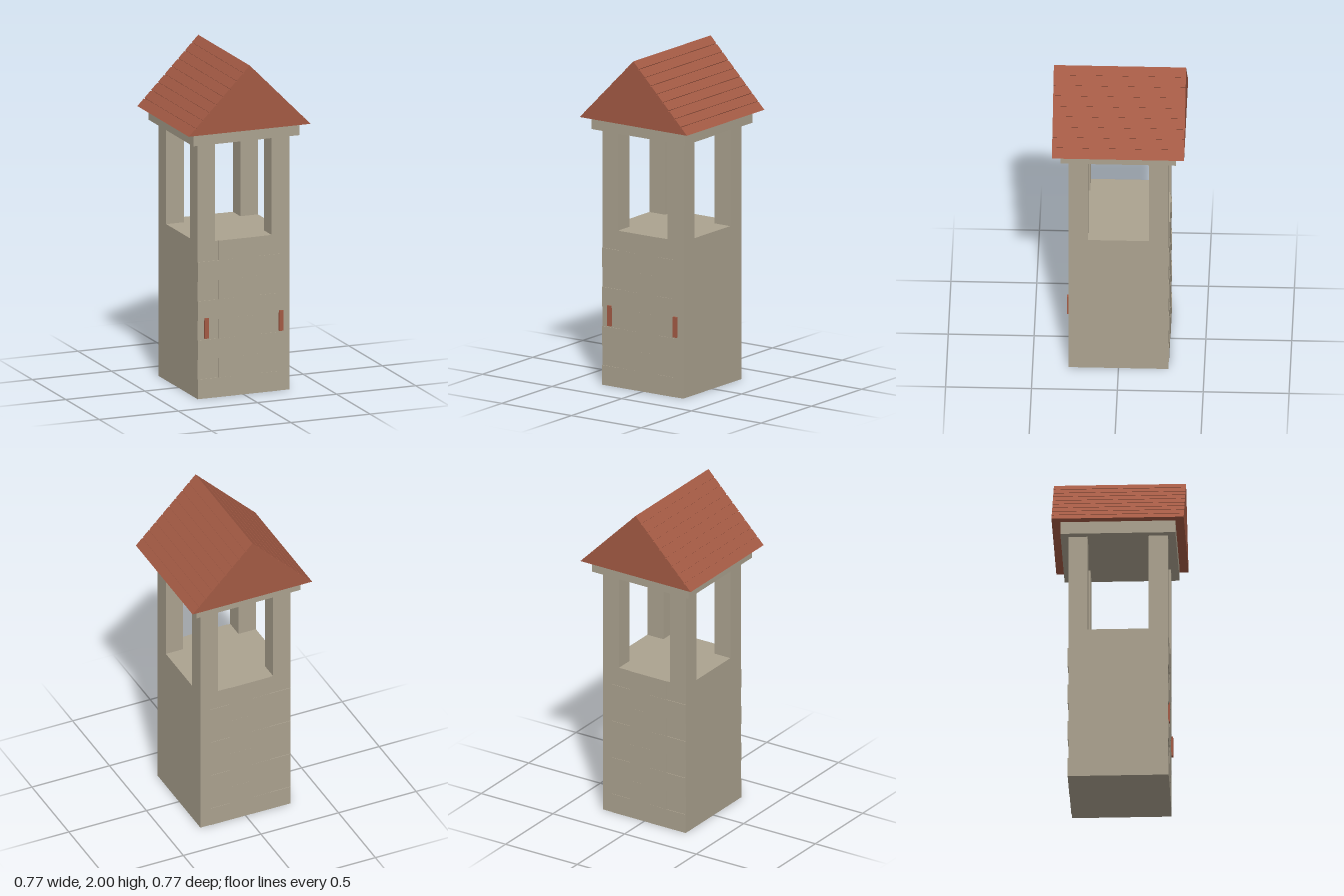
import * as THREE from 'three';

const stone = new THREE.MeshStandardMaterial({ color: 0xaba28f });
stone.name = 'stone';
const terracotta = new THREE.MeshStandardMaterial({ color: 0xa35a44 });
terracotta.name = 'terracotta';

export function createModel() {
  const tower = new THREE.Group();
  tower.name = 'tower';

  // box given by its lower and upper corners
  function box(name, material, [x0, y0, z0], [x1, y1, z1], parent = tower) {
    const mesh = new THREE.Mesh(new THREE.BoxGeometry(x1 - x0, y1 - y0, z1 - z0), material);
    mesh.position.set((x0 + x1) / 2, (y0 + y1) / 2, (z0 + z1) / 2);
    mesh.name = name;
    parent.add(mesh);
  }

  const half = 0.29, wallTop = 0.94, slabBottom = 1.535, slabTop = 1.61;

  // solid lower shaft
  box('shaft', stone, [-half, 0, -half], [half, wallTop, half]);

  // four corner pillars of the open lookout
  const inner = 0.178;
  for (const sx of [-1, 1]) for (const sz of [-1, 1]) {
    const x = sx > 0 ? inner : -half, z = sz > 0 ? inner : -half;
    box('pillar', stone, [x, wallTop, z], [x + half - inner, slabBottom, z + half - inner]);
  }

  // slab under the roof
  box('roofSlab', stone, [-0.335, slabBottom, -0.335], [0.335, slabTop, 0.335]);

  // shallow brick courses on the front and back walls
  const rows = 8, rowHeight = wallTop / rows;
  for (const side of [1, -1]) {
    const wall = new THREE.Group();
    wall.name = side > 0 ? 'frontBricks' : 'backBricks';
    tower.add(wall);
    const brick = (x0, x1, row, depth) => {
      const a = side * half, b = side * (half + depth);
      box('brick', stone, [x0, row * rowHeight, Math.min(a, b)],
        [x1, (row + 1) * rowHeight, Math.max(a, b)], wall);
    };
    for (let row = 0; row < rows; row++) {
      if (row % 2 === 0) {
        brick(-half, -0.04, row, 0.004);
        brick(-0.04, 0.226, row, 0.0025);
      } else {
        brick(-0.157, 0.1, row, 0.003);
      }
    }
  }

  // two small upright bars on the front wall
  for (const s of [-1, 1]) {
    box('frontBar', terracotta, [s * 0.235 - 0.0125, 0.36, half], [s * 0.235 + 0.0125, 0.483, 0.301]);
  }

  // gable roof: one profile with narrow grooves between the planks
  const eave = 0.385, rise = 2 - slabTop, planks = 9, gap = 0.007, depth = 0.006;
  const length = Math.hypot(eave, rise);
  const ux = -eave / length, uy = rise / length;
  // point on the right slope: t along it from the eave, d below its surface
  const at = (t, d) => [eave + ux * t - uy * d, slabTop + uy * t + ux * d];
  const slope = [[eave, slabTop]];
  for (let i = 1; i < planks; i++) {
    const t = length * i / planks;
    slope.push(at(t - gap / 2, 0), at(t - gap / 2, depth), at(t + gap / 2, depth), at(t + gap / 2, 0));
  }
  const outline = [...slope, [0, 2], ...slope.map(([x, y]) => [-x, y]).reverse()];
  const shape = new THREE.Shape(outline.map(([x, y]) => new THREE.Vector2(x, y)));
  const roofGeometry = new THREE.ExtrudeGeometry(shape, { depth: 2 * eave, bevelEnabled: false });
  roofGeometry.translate(0, 0, -eave);
  const roof = new THREE.Mesh(roofGeometry, terracotta);
  roof.name = 'gableRoof';
  tower.add(roof);

  return tower;
}
